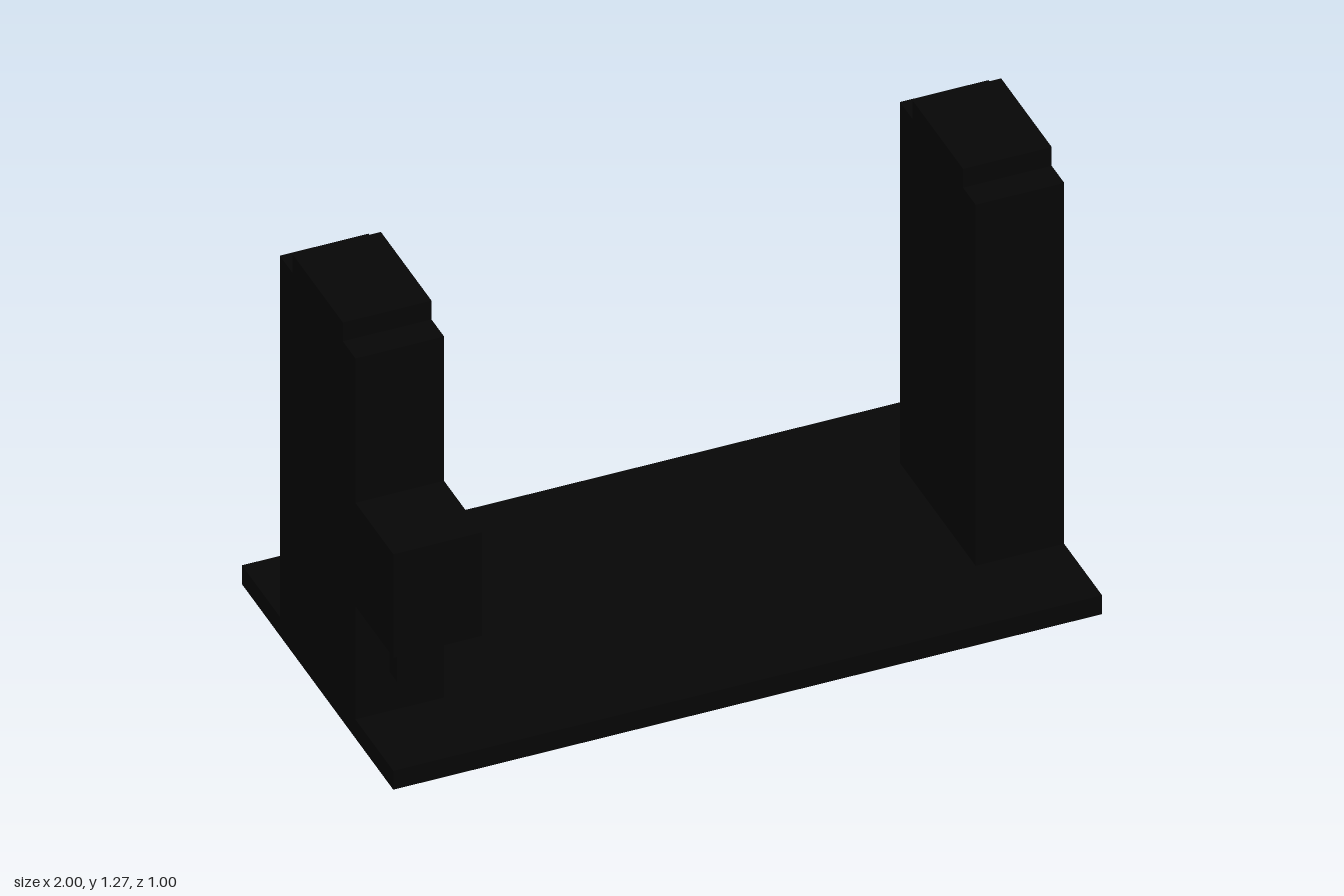
import * as THREE from 'three';

export function createModel() {
  const model = new THREE.Group();
  const black = new THREE.MeshStandardMaterial({ color: 0x060606 });
  black.name = 'black';

  // Box given by its minimum and maximum corners
  function box(name, min, max, parent = model) {
    const size = max.map((v, i) => v - min[i]);
    const mesh = new THREE.Mesh(new THREE.BoxGeometry(...size), black);
    mesh.position.set(...min.map((v, i) => v + size[i] / 2));
    mesh.name = name;
    parent.add(mesh);
  }

  // Base deck, hollow underneath
  const deckBottom = 0.045;
  box('deck', [-1, deckBottom, -0.5], [1, 0.06, 0.5]);

  // Rim and crossing ribs below the deck
  const frame = new THREE.Group();
  frame.name = 'baseFrame';
  model.add(frame);
  const rim = 0.02, half = 0.02;
  for (const s of [-1, 1]) {
    const edgeZ = s * (0.5 - rim / 2), edgeX = s * (1 - rim / 2);
    box('longRim', [-1, 0, edgeZ - rim / 2], [1, deckBottom, edgeZ + rim / 2], frame);
    box('endRim', [edgeX - rim / 2, 0, rim - 0.5], [edgeX + rim / 2, deckBottom, 0.5 - rim], frame);

    const z = s * 0.37, x = s * 0.335;
    box('longRib', [rim - 1, 0, z - half], [1 - rim, deckBottom, z + half], frame);
    // Cross ribs are cut where the long ribs pass
    for (const [z0, z1] of [[rim - 0.5, -0.39], [-0.35, 0.35], [0.39, 0.5 - rim]]) {
      box('crossRib', [x - half, 0, z0], [x + half, deckBottom, z1], frame);
    }
  }

  // Two end towers with stepped caps
  for (const [side, x] of [['right', -1], ['left', 0.75]]) {
    box(side + 'Tower', [x, 0.06, -0.25], [x + 0.25, 1.21, 0.25]);
    box(side + 'TowerCap', [x, 1.21, -0.167], [x + 0.25, 1.27, 0.167]);
  }

  // Control box with a hanging lever on the right tower
  box('controlBox', [-1, 0.42, 0.25], [-0.75, 0.75, 0.5]);
  box('lever', [-0.94, 0.25, 0.335], [-0.89, 0.42, 0.385]);

  return model;
}
